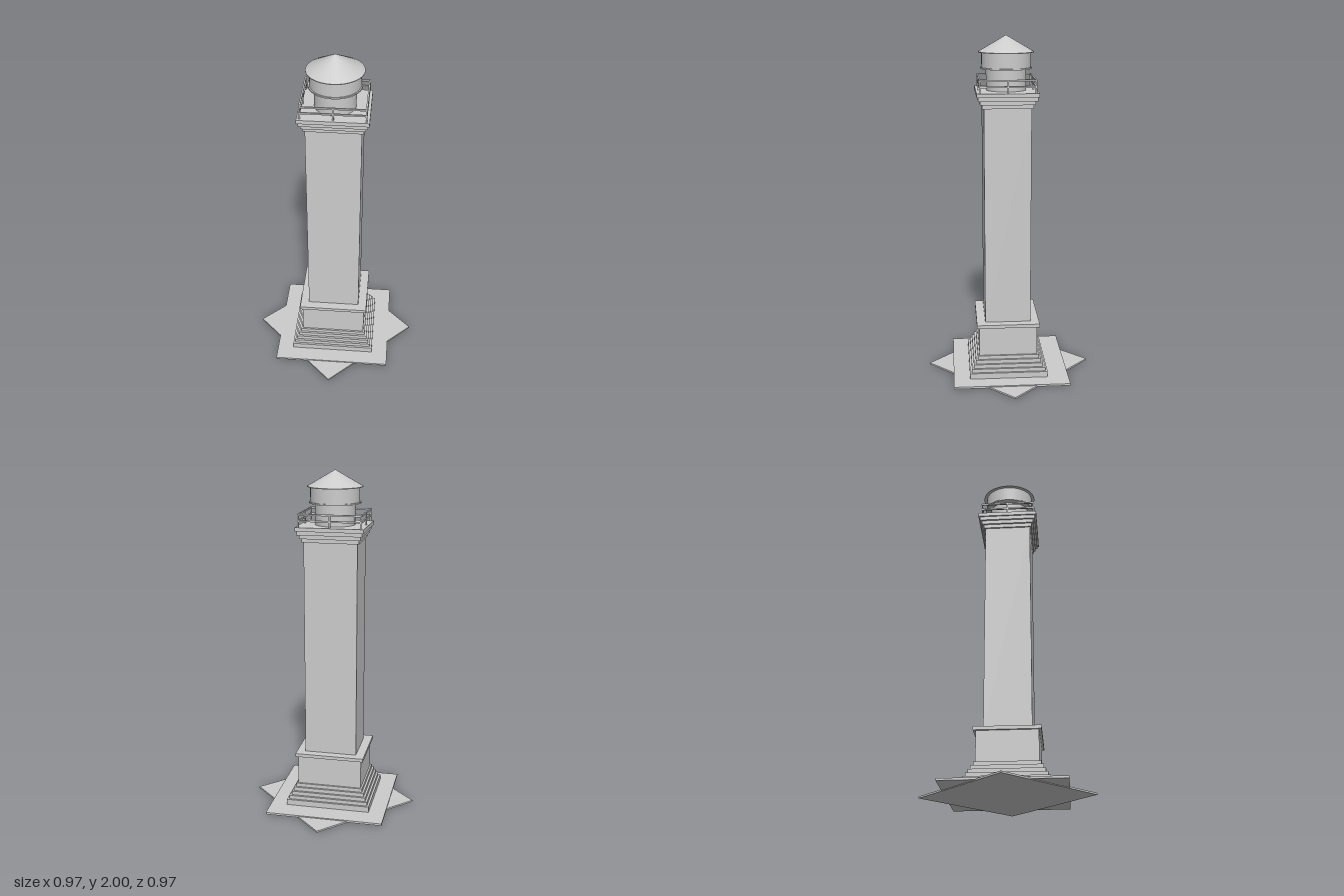
import * as THREE from 'three';

const CZ = 0.014; // the tower stands slightly forward of the plinth centre

export function createModel() {
  const model = new THREE.Group();
  const mat = new THREE.MeshStandardMaterial({ color: 0xcccccc });

  const add = (name, geo, x, y, z, parent = model) => {
    const mesh = new THREE.Mesh(geo, mat);
    mesh.name = name;
    mesh.position.set(x, y, z);
    parent.add(mesh);
    return mesh;
  };
  // rectangular course: half width hx, depth 0.02 less per side, from y0 to y1
  const course = (name, hx, y0, y1) =>
    add(name, new THREE.BoxGeometry(2 * hx, y1 - y0, 2 * (hx - 0.02)), 0, (y0 + y1) / 2, CZ);
  const drum = (name, r, y0, y1) =>
    add(name, new THREE.CylinderGeometry(r, r, y1 - y0, 32), 0, (y0 + y1) / 2, CZ);

  // eight-pointed plinth: a slab over a diamond
  const tips = [[0.486, 0.005], [0.004, 0.486], [-0.486, -0.005], [-0.004, -0.486]];
  const diamond = new THREE.Shape(tips.map(([x, y]) => new THREE.Vector2(x, y)));
  const diamondGeo = new THREE.ExtrudeGeometry(diamond, { depth: 0.01, bevelEnabled: false });
  diamondGeo.rotateX(-Math.PI / 2);
  add('plinthDiamond', diamondGeo, 0, 0, 0);
  add('plinthSquare', new THREE.BoxGeometry(0.695, 0.012, 0.68), 0, 0.01, 0);

  // stepped foot
  const stepTops = [0.05, 0.072, 0.095, 0.118, 0.14];
  stepTops.forEach((top, i) => course('footStep', 0.25 - i * 0.0122, i ? stepTops[i - 1] : 0.012, top));

  // pedestal, its cap and the shaft
  course('pedestal', 0.191, 0.14, 0.315);
  course('pedestalCap', 0.205, 0.315, 0.335);
  course('shaft', 0.154, 0.335, 1.605);

  // corbels widening to the gallery floor
  [0.164, 0.175, 0.186, 0.195].forEach((hx, i) =>
    course(i === 3 ? 'galleryFloor' : 'corbel', hx, 1.605 + i * 0.022, 1.627 + i * 0.022));

  // gallery railing: posts at corners and mid-sides, two rails
  const railing = new THREE.Group();
  railing.name = 'railing';
  model.add(railing);
  const RX = 0.178, RZ = 0.157, T = 0.009;
  for (const sx of [-1, 0, 1]) for (const sz of [-1, 0, 1]) {
    if (!sx && !sz) continue;
    add('railingPost', new THREE.BoxGeometry(T, 0.074, T), sx * RX, 1.73, CZ + sz * RZ, railing);
  }
  for (const y of [1.728, 1.763]) for (const s of [-1, 1]) {
    add('railFrontBack', new THREE.BoxGeometry(2 * RX + T, T, T), 0, y, CZ + s * RZ, railing);
    add('railSide', new THREE.BoxGeometry(T, T, 2 * RZ + T), s * RX, y, CZ, railing);
  }

  // lantern room and conical roof
  drum('lanternBase', 0.115, 1.69, 1.82);
  drum('lanternLowerRim', 0.148, 1.814, 1.822);
  drum('lanternRoom', 0.141, 1.82, 1.908);
  add('roof', new THREE.ConeGeometry(0.159, 0.092, 32), 0, 1.954, CZ);
  drum('roofEave', 0.159, 1.905, 1.909);

  return model;
}
